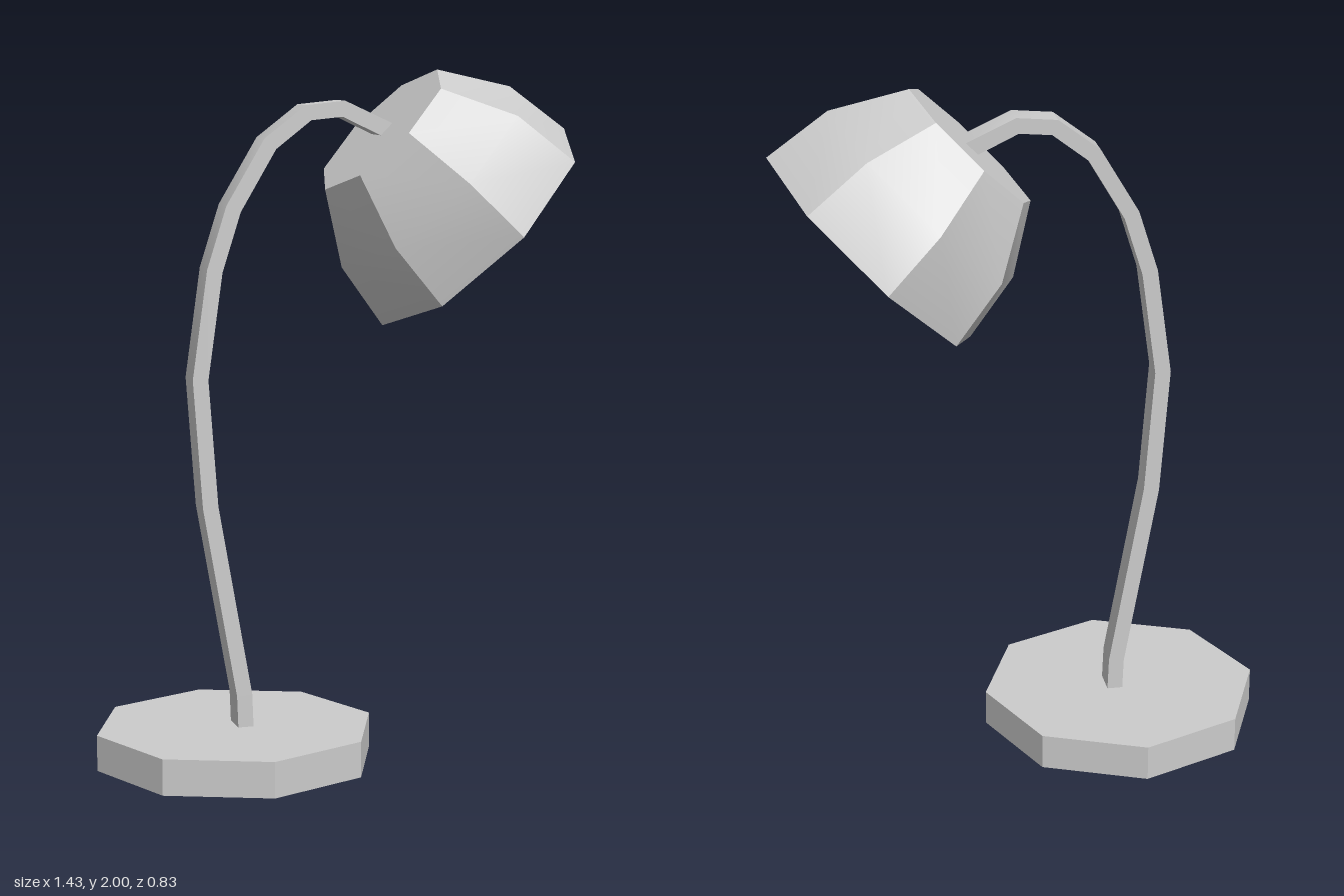
import * as THREE from 'three';
import { toCreasedNormals } from 'three/addons/utils/BufferGeometryUtils.js';

const CREASE = 0.55;

function part(name, geometry) {
  const mesh = new THREE.Mesh(
    toCreasedNormals(geometry, CREASE),
    new THREE.MeshStandardMaterial({ color: 0xcccccc })
  );
  mesh.name = name;
  return mesh;
}

// Rectangular bar swept along a path in the xy plane, with closed ends
function sweptBar(path, halfThick, halfDepth) {
  const pts = path.map(([x, y]) => new THREE.Vector2(x, y));
  const pos = [], index = [];
  const last = pts.length - 1;
  pts.forEach((p, i) => {
    const before = p.clone().sub(pts[Math.max(i - 1, 0)]).normalize();
    const after = pts[Math.min(i + 1, last)].clone().sub(p).normalize();
    const t = before.add(after).normalize();
    const nx = -t.y * halfThick, ny = t.x * halfThick;
    for (const [s, z] of [[1, 1], [1, -1], [-1, -1], [-1, 1]]) {
      pos.push(p.x + s * nx, p.y + s * ny, z * halfDepth);
    }
    if (i === last) return;
    for (let j = 0; j < 4; j++) {
      const a = i * 4 + j, b = i * 4 + (j + 1) % 4;
      index.push(a, a + 4, b + 4, a, b + 4, b);
    }
  });
  const e = last * 4;
  index.push(0, 1, 2, 0, 2, 3, e, e + 2, e + 1, e, e + 3, e + 2);
  const geometry = new THREE.BufferGeometry();
  geometry.setAttribute('position', new THREE.Float32BufferAttribute(pos, 3));
  geometry.setIndex(index);
  return geometry;
}

export function createModel() {
  const lamp = new THREE.Group();
  lamp.name = 'deskLamp';

  // Octagonal foot
  const base = part('base', new THREE.CylinderGeometry(0.413, 0.413, 0.105, 8));
  base.position.set(-0.305, 0.0525, 0);
  lamp.add(base);

  // Curved gooseneck arm
  lamp.add(part('arm', sweptBar([
    [-0.283, 0.09], [-0.287, 0.2], [-0.385, 0.76], [-0.412, 1.13],
    [-0.368, 1.44], [-0.312, 1.615], [-0.203, 1.797], [-0.09, 1.883],
    [0.016, 1.893], [0.155, 1.828],
  ], 0.023, 0.041)));

  // Thick-walled octagonal shade: cavity, rim, then outer shell
  const profile = [
    [0, 0.184], [0.217, 0.184], [0.318, 0], [0.398, 0],
    [0.364, 0.21], [0.24, 0.405], [0, 0.405],
  ].map(([r, y]) => new THREE.Vector2(r, y));
  const shade = part('shade', new THREE.LatheGeometry(profile, 8));
  shade.position.set(0.428, 1.545, 0);
  shade.rotation.z = Math.PI / 4;
  lamp.add(shade);

  return lamp;
}
